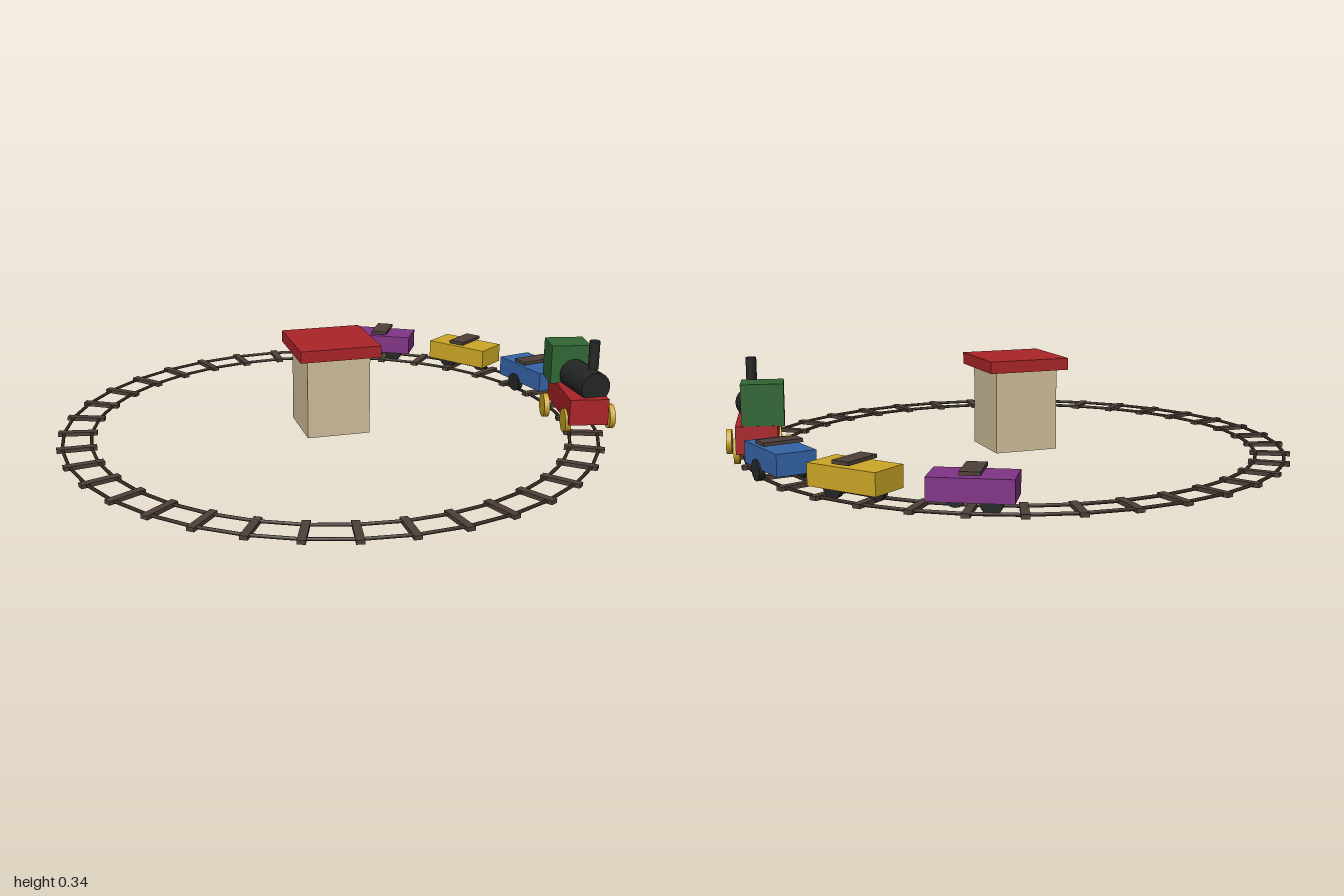
import * as THREE from 'three';

const CX = -0.01; // centre of the track circle
const R = 0.92;   // track centre line radius

function mat(name, color) {
  const m = new THREE.MeshStandardMaterial({ color });
  m.name = name;
  return m;
}

export function createModel() {
  const M = {
    red: mat('red', 0xaa2428),
    green: mat('green', 0x2f6633),
    black: mat('black', 0x232525),
    gold: mat('gold', 0xcba626),
    blue: mat('blue', 0x3463a6),
    purple: mat('purple', 0x803485),
    brown: mat('brown', 0x4e3f38),
    rail: mat('dark rail', 0x33291f),
    tan: mat('tan', 0xcdbd98),
  };
  const model = new THREE.Group();
  model.name = 'trainSet';

  function add(parent, name, geo, material, x, y, z, turn = 0) {
    const mesh = new THREE.Mesh(geo, material);
    mesh.name = name;
    mesh.position.set(x, y, z);
    mesh.rotation.y = turn;
    parent.add(mesh);
    return mesh;
  }
  function group(name) {
    const g = new THREE.Group();
    g.name = name;
    model.add(g);
    return g;
  }
  const box = (w, h, d) => new THREE.BoxGeometry(w, h, d);
  const wheelGeo = (r, t) => new THREE.CylinderGeometry(r, r, t, 16).rotateZ(Math.PI / 2);

  // Track: two round rails and a ring of sleepers
  const track = group('track');
  for (const [name, r] of [['innerRail', R - 0.05], ['outerRail', R + 0.05]]) {
    add(track, name, new THREE.TorusGeometry(r, 0.006, 8, 36).rotateX(Math.PI / 2), M.rail, CX, 0.011, 0);
  }
  const sleeperGeo = box(0.14, 0.014, 0.027);
  for (let i = 0; i < 36; i++) {
    const a = (i / 36) * Math.PI * 2;
    add(track, 'sleeper', sleeperGeo, M.brown, CX + R * Math.cos(a), 0.01, R * Math.sin(a), -a);
  }

  // Station house with a flat overhanging roof
  const station = group('station');
  add(station, 'walls', box(0.23, 0.286, 0.23), M.tan, CX, 0.155, 0);
  add(station, 'roof', box(0.293, 0.042, 0.293), M.red, CX, 0.324, 0);

  // Locomotive
  const a0 = 0.2;
  const loco = group('locomotive');
  loco.position.set(CX + R * Math.cos(a0), 0, R * Math.sin(a0));
  add(loco, 'chassis', box(0.142, 0.096, 0.326), M.red, 0, 0.096, 0, -a0);
  add(loco, 'cab', box(0.144, 0.146, 0.12), M.green, -0.002, 0.214, -0.104, -a0);
  add(loco, 'boiler', new THREE.CylinderGeometry(0.056, 0.056, 0.18, 20).rotateX(Math.PI / 2),
    M.black, 0, 0.179, 0.046);
  add(loco, 'chimney', new THREE.CylinderGeometry(0.019, 0.019, 0.104, 16), M.black, 0, 0.294, 0.104);
  const bigWheel = wheelGeo(0.045, 0.02);
  for (const sx of [-1, 1]) {
    for (const sz of [-1, 1]) {
      add(loco, 'locomotiveWheel', bigWheel, M.gold, sx * 0.089, 0.048, sz * 0.089, -a0);
    }
  }

  // Three wagons following round the curve
  const bodyGeo = box(0.136, 0.073, 0.262);
  const slatGeo = box(0.137, 0.012, 0.064);
  const smallWheel = wheelGeo(0.035, 0.02);
  [M.blue, M.gold, M.purple].forEach((material, i) => {
    const a = a0 - 0.42 * (i + 1);
    const wagon = group(material.name + 'Wagon');
    wagon.position.set(CX + R * Math.cos(a), 0, R * Math.sin(a));
    add(wagon, 'wagonBody', bodyGeo, material, 0, 0.084, 0, -a);
    add(wagon, 'topSlat', slatGeo, M.brown, 0, 0.134, 0, -a);
    for (const s of [-1, 1]) {
      add(wagon, 'wagonWheel', smallWheel, M.black,
        s * 0.07 * Math.cos(a), 0.042, -s * 0.07 * Math.sin(a), -a);
    }
  });

  return model;
}
